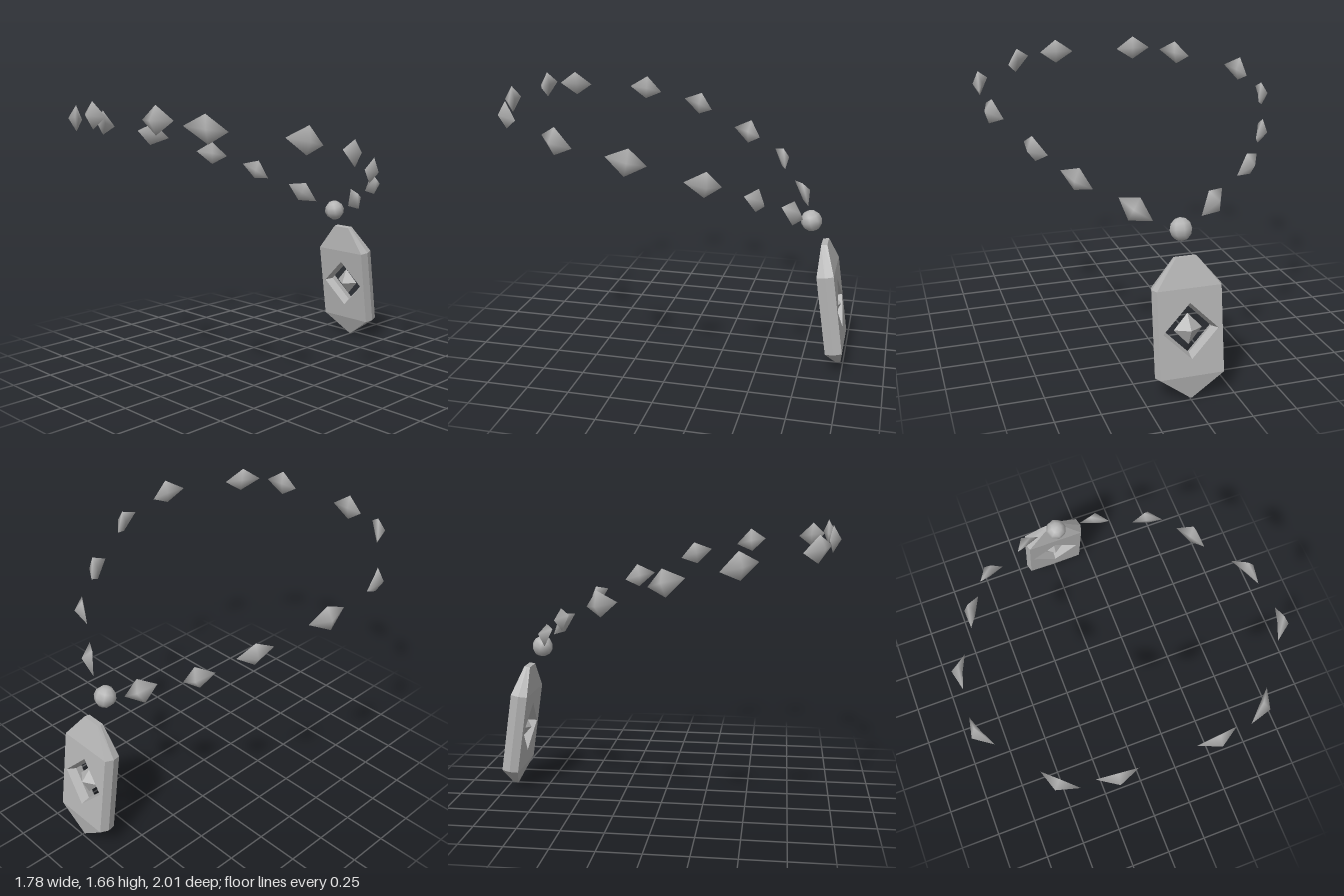
import * as THREE from 'three';

const stone = new THREE.MeshStandardMaterial({ color: 0xb4b4b4 });
stone.name = 'grey stone';

const V = (x, y, z) => new THREE.Vector3(x, y, z);

// Skin a series of equal-length closed loops with flat faces
function skin(loops) {
  const pos = [];
  for (let i = 0; i < loops.length - 1; i++) {
    const L = loops[i], M = loops[i + 1], n = L.length;
    for (let j = 0; j < n; j++) {
      const k = (j + 1) % n;
      for (const p of [L[j], M[j], M[k], L[j], M[k], L[k]]) pos.push(p.x, p.y, p.z);
    }
  }
  const g = new THREE.BufferGeometry();
  g.setAttribute('position', new THREE.Float32BufferAttribute(pos, 3));
  g.computeVertexNormals();
  return g;
}

function add(parent, name, geometry) {
  const mesh = new THREE.Mesh(geometry, stone);
  mesh.name = name;
  parent.add(mesh);
  return mesh;
}

// Diamond-based pyramid whose apex points away from the neck
function beadGeometry(a, top, b, bottom) {
  const c = V(0, 0, 0);
  for (const p of [a, top, b, bottom]) c.addScaledVector(p, 0.25);
  const n = b.clone().sub(a).cross(bottom.clone().sub(top)).normalize();
  let ring = [a, bottom, b, top];
  if (n.x * c.x + n.z * c.z < 0) n.negate();
  const turn = b.clone().sub(a).cross(top.clone().sub(bottom)).dot(n);
  if (turn < 0) ring = [a, top, b, bottom];
  const pts = [...ring, c.clone().addScaledVector(n, 0.052), c.clone().addScaledVector(n, -0.008)];
  const index = [];
  for (let i = 0; i < 4; i++) {
    const j = (i + 1) % 4;
    index.push(i, j, 4, j, i, 5);
  }
  const g = new THREE.BufferGeometry().setFromPoints(pts);
  g.setIndex(index);
  g.computeVertexNormals();
  return g;
}

// Corners of the left-hand beads: first tip, top, second tip, bottom
const beads = [
  [[.155, 1.585, .955], [.27, 1.665, .96], [.38, 1.59, .935], [.27, 1.512, .96]],
  [[.46, 1.57, .945], [.547, 1.63, .877], [.62, 1.54, .79], [.56, 1.48, .871]],
  [[.79, 1.51, .57], [.86, 1.57, .47], [.87, 1.464, .375], [.852, 1.42, .48]],
  [[.855, 1.43, .205], [.838, 1.475, .083], [.787, 1.373, .002], [.857, 1.33, .105]],
  [[.708, 1.28, -.17], [.683, 1.337, -.287], [.612, 1.24, -.356], [.665, 1.19, -.27]],
  [[.57, 1.184, -.465], [.48, 1.207, -.53], [.415, 1.09, -.553], [.51, 1.085, -.52]],
  [[.295, 1.055, -.63], [.193, 1.066, -.69], [.137, .943, -.735], [.26, .943, -.69]],
];

// Cross-section of the pendant: six corners, ridged along both sides
const hexagon = (y, w, f, t) =>
  [[w, 0], [f, t], [-f, t], [-w, 0], [-f, -t], [f, -t]].map(([x, z]) => V(x, y, z));

function createPendant() {
  const pendant = new THREE.Group();
  pendant.name = 'pendant';
  const W = 0.195, F = 0.18, T = 0.05, hi = 0.235, lo = -0.25;

  // Middle block with a chamfered diamond window
  const outer = (w, z) =>
    [[w, 0], [w, hi], [0, hi], [-w, hi], [-w, 0], [-w, lo], [0, lo], [w, lo]].map(([x, y]) => V(x, y, z));
  const hole = (r, z) => Array.from({ length: 8 }, (_, i) => {
    const a = i * Math.PI / 4, d = i % 2 ? r * Math.SQRT1_2 : r;
    return V(Math.cos(a) * d, Math.sin(a) * d, z);
  });
  const inside = hole(0.132, 0);
  add(pendant, 'pendantBody', skin([
    inside, hole(0.155, T), outer(F, T), outer(W, 0), outer(F, -T), hole(0.155, -T), inside,
  ]));

  // Tapered ends
  add(pendant, 'pendantTop', skin([
    hexagon(hi, W, F, T), hexagon(0.395, 0.063, 0.06, 0.018), hexagon(0.395, 0, 0, 0),
  ]));
  add(pendant, 'pendantPoint', skin([
    hexagon(-0.383, 0, 0, 0), hexagon(-0.383, 0.006, 0.005, 0.016), hexagon(lo, W, F, T),
  ]));

  // Gem floating in the window
  const gem = add(pendant, 'gem', new THREE.OctahedronGeometry(1));
  gem.scale.set(0.08, 0.087, 0.056);

  pendant.position.set(-0.005, 0.382, -0.915);
  pendant.rotation.x = 0.147;
  return pendant;
}

export function createModel() {
  const model = new THREE.Group();
  model.name = 'necklace';

  beads.forEach((corners, i) => {
    for (const side of [1, -1]) {
      const pts = corners.map(([x, y, z]) => V(side * x - 0.003, y, z));
      add(model, `${side > 0 ? 'left' : 'right'}Bead${i + 1}`, beadGeometry(...pts));
    }
  });

  // Round bead above the pendant
  const ball = add(model, 'roundBead', new THREE.SphereGeometry(0.064, 8, 6));
  ball.position.set(-0.01, 0.895, -0.77);
  ball.rotation.x = 0.3;

  model.add(createPendant());
  return model;
}
